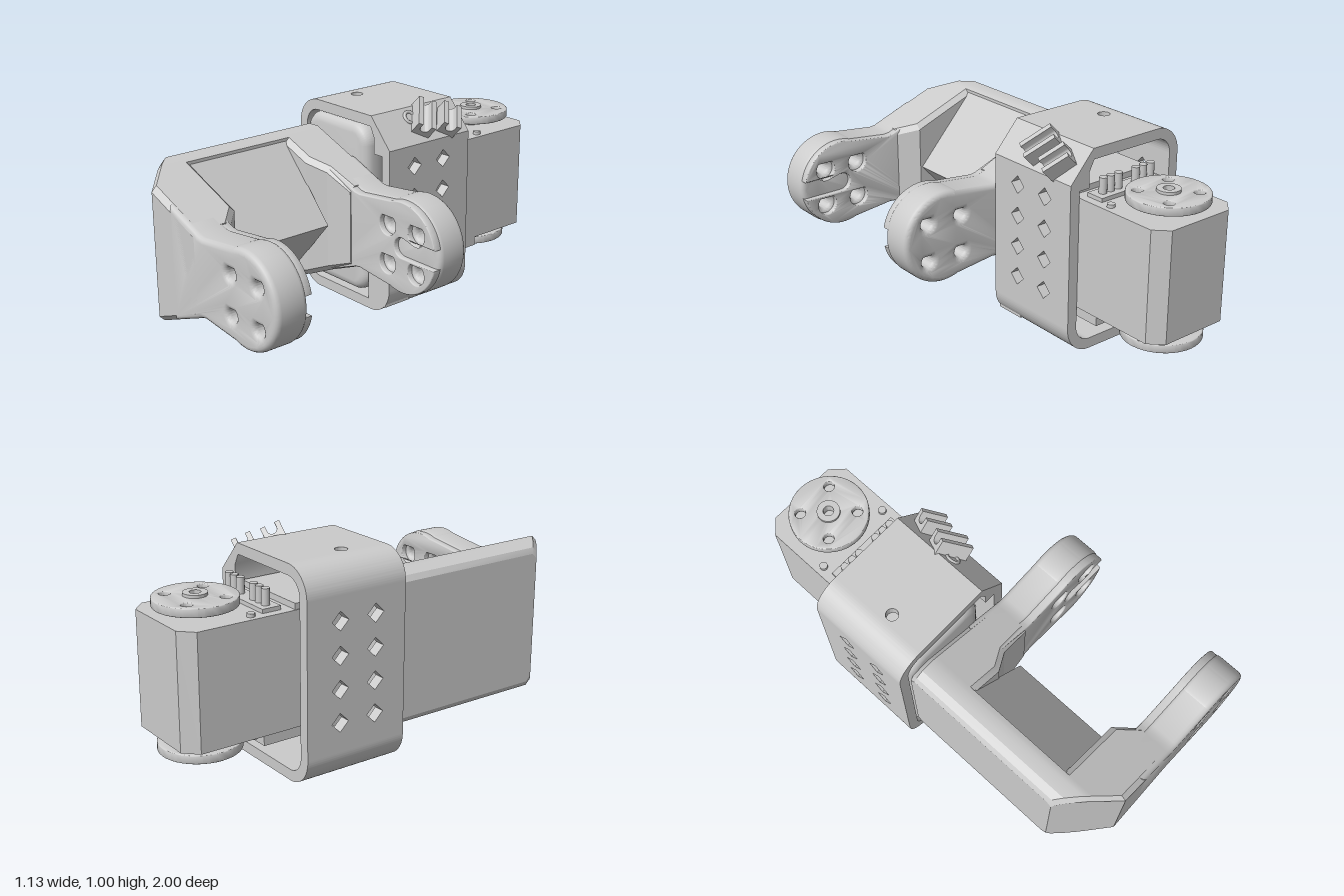
import * as THREE from 'three';
import { toCreasedNormals } from 'three/addons/utils/BufferGeometryUtils.js';

const grey = new THREE.MeshStandardMaterial({ color: 0xcccccc });
const CY = 0.48; // mid height of the bracket
const poly = (pts) => new THREE.Shape(pts.map(([a, b]) => new THREE.Vector2(a, b)));
const circle = (x, y, r) => new THREE.Path().absarc(x, y, r, 0, Math.PI * 2, true);

function add(group, name, geo, x = 0, y = 0, z = 0) {
  const m = new THREE.Mesh(geo, grey);
  m.name = name;
  m.position.set(x, y, z);
  group.add(m);
  return m;
}

// Extrusion spanning 0..depth, optional edge rounding kept inside the outline
function slab(shape, depth, bevel = 0) {
  const g = new THREE.ExtrudeGeometry(shape, {
    depth: depth - 2 * bevel, bevelEnabled: bevel > 0, bevelSize: bevel, bevelOffset: -bevel,
    bevelThickness: bevel, bevelSegments: 4, curveSegments: 20,
  });
  return toCreasedNormals(g.translate(0, 0, bevel), 0.6);
}
const slabX = (s, d) => slab(s, d).rotateY(Math.PI / 2);  // shape (-z, y), grows to +x
const slabY = (s, d, b) => slab(s, d, b).rotateX(Math.PI / 2); // shape (x, z), grows to -y

// Loft of chamfered rectangles along x; each section is [x, zBack, zFront, halfHeight]
function loft(sections, c = 0.025) {
  const pos = [], idx = [], n = 8, last = (sections.length - 1) * n;
  for (const [x, a, b, h] of sections) {
    for (const [y, z] of [[h, a + c], [h, b - c], [h - c, b], [c - h, b], [-h, b - c], [-h, a + c], [c - h, a], [h - c, a]])
      pos.push(x, CY + y, z);
  }
  for (let s = 0; s < last; s += n) {
    for (let i = 0; i < n; i++) {
      const a = s + i, b = s + (i + 1) % n;
      idx.push(a, b, b + n, a, b + n, a + n);
    }
  }
  for (let i = 1; i < n - 1; i++) idx.push(0, i + 1, i, last, last + i, last + i + 1);
  const g = new THREE.BufferGeometry();
  g.setAttribute('position', new THREE.Float32BufferAttribute(pos, 3));
  g.setIndex(idx);
  return toCreasedNormals(g, 0.4);
}

// Arm outline: neck and round lobe, with four teardrop holes and an optional slot to the tip
function armShape(r, holeR, slot) {
  const s = new THREE.Shape(), k = 0.215 - r, cx = 0.35;
  const low = [[-0.16, 0.262], [0.02, 0.194], [0.045, 0.184], [0.075, 0.18], [0.28, 0.203]];
  low.forEach(([x, h], i) => s[i ? 'lineTo' : 'moveTo'](x, CY - h + k));
  const a = 1.9, t = slot ? Math.asin(0.045 / r) : 0;
  s.absarc(cx, CY, r, -a, -t, false);
  if (slot) s.absarc(cx, CY, 0.045, -Math.PI / 2, Math.PI / 2, true);
  s.absarc(cx, CY, r, t, a, false);
  low.reverse().forEach(([x, h]) => s.lineTo(x, CY + h - k));
  for (const x of [0.26, 0.44]) for (const y of [0.385, 0.565]) {
    const p = new THREE.Path();
    p.moveTo(x, y + holeR * 1.42);
    p.absarc(x, y, holeR, Math.PI * 0.75, Math.PI * 2.25, false);
    p.closePath();
    s.holes.push(p);
  }
  return s;
}

function makeBracket() {
  const g = new THREE.Group();
  g.name = 'forkBracket';
  const h = (x) => 0.355 - 0.384 * (x + 0.4);
  add(g, 'web', loft([[-0.51, -0.015, 0.79, 0.31], [-0.495, -0.015, 0.804, 0.335], [-0.46, -0.015, 0.836, 0.354],
    [-0.4, -0.015, 0.89, 0.355], [-0.37, -0.015, 0.918, h(-0.37)]]));
  add(g, 'frontArmRoot', loft([[-0.37, 0.74, 0.918, h(-0.37)], [-0.28, 0.74, 1, h(-0.28)],
    [-0.06, 0.74, 1, h(-0.06)], [0, 0.8, 1, h(0)], [0.02, 0.82, 1, h(0.02)]]));
  add(g, 'backArmRoot', loft([[-0.37, -0.015, 0.23, h(-0.37)], [-0.22, -0.015, 0.23, h(-0.22)],
    [-0.13, -0.015, 0.18, h(-0.13)], [0.02, -0.015, 0.17, h(0.02)]]));
  add(g, 'ridge', slab(poly([[-0.38, 0.14], [-0.07, CY], [-0.38, 0.82]]), 0.52), 0, 0, 0.225);
  const plate = slab(armShape(0.215, 0.03, false), 0.155, 0.025);
  const pad = slab(armShape(0.21, 0.05, true), 0.05, 0.006);
  add(g, 'frontArm', plate, 0, 0, 0.845);
  add(g, 'frontArmPad', pad, 0, 0, 0.82);
  add(g, 'backArm', plate, 0, 0, -0.015);
  add(g, 'backArmPad', pad, 0, 0, 0.115);
  return g;
}

function makeFrame() {
  const g = new THREE.Group();
  g.name = 'servoFrame';
  const D = 0.5, Z = -0.52, R = 0.13, T = 0.05;
  // side walls with rows of diamond openings
  const wall = (top) => {
    const s = poly([[0.02, R], [0.52, R], [0.52, top], [0.02, top]]);
    for (const u of [0.175, 0.355]) for (const y of [0.265, 0.413, 0.561, 0.71])
      s.holes.push(new THREE.Path(poly([[u - 0.042, y], [u, y - 0.042], [u + 0.042, y], [u, y + 0.042]]).getPoints()));
    return slabX(s, T);
  };
  add(g, 'leftWall', wall(0.79), 0.02);
  add(g, 'rightWall', wall(0.82), -0.565);
  // top and bottom walls with screw holes
  const deck = (holes) => {
    const s = poly([[-0.435, -0.52], [-0.06, -0.52], [-0.06, -0.02], [-0.435, -0.02]]);
    s.holes = holes.map(([x, z]) => circle(x, z, 0.028));
    return slabY(s, T);
  };
  add(g, 'topWall', deck([[-0.39, -0.225]]), 0, 0.95);
  add(g, 'bottomWall', deck([[-0.39, -0.28], [-0.1, -0.28]]), 0, T);
  // rounded corners
  for (const [x, y, a] of [[-0.435, 0.82, Math.PI / 2], [-0.435, R, Math.PI], [-0.06, R, Math.PI * 1.5]]) {
    const s = new THREE.Shape();
    s.absarc(x, y, R, a, a + Math.PI / 2, false);
    s.absarc(x, y, R - T, a + Math.PI / 2, a, true);
    add(g, 'frameCorner', slab(s, D), 0, 0, Z);
  }
  add(g, 'slopedCorner', slab(poly([[-0.062, 0.95], [-0.06, 0.9], [-0.035, 0.85], [-0.035, 0.775], [0.07, 0.775],
    [0.07, 0.81], [-0.055, 0.95]].reverse()), D), 0, 0, Z);
  add(g, 'cornerBlock', new THREE.BoxGeometry(0.12, 0.16, 0.15), -0.015, 0.12, -0.095);
  // screw seat on the slope
  const seat = add(g, 'screwSeat', new THREE.TorusGeometry(0.028, 0.008, 8, 20), -0.02, 0.912, -0.225);
  seat.lookAt(1, 1.8, -0.225);
  // softly rounded backing between bracket and frame
  const b = new THREE.Shape(), x0 = -0.515, x1 = -0.08, y0 = 0.065, y1 = 0.895, r = 0.1;
  b.absarc(x1 - r, y0 + r, r, -Math.PI / 2, 0, false);
  b.absarc(x1 - r, y1 - r, r, 0, Math.PI / 2, false);
  b.absarc(x0 + r, y1 - r, r, Math.PI / 2, Math.PI, false);
  b.absarc(x0 + r, y0 + r, r, Math.PI, Math.PI * 1.5, false);
  add(g, 'backing', slab(b, 0.12, 0.045), 0, 0, -0.13);
  // cable clips on the slope, turned within its plane
  const clip = new THREE.Shape();
  clip.moveTo(-0.045, -0.02);
  clip.lineTo(0.045, -0.02);
  clip.lineTo(0.045, 0.07);
  clip.lineTo(0.022, 0.07);
  clip.absarc(0, 0.045, 0.022, 0, Math.PI, true);
  clip.lineTo(-0.022, 0.07);
  clip.lineTo(-0.045, 0.07);
  for (const [x, y, z, len] of [[-0.002, 0.89, -0.275, 0.16], [0.025, 0.862, -0.41, 0.13]]) {
    const holder = new THREE.Group();
    holder.name = 'cableClip';
    holder.position.set(x, y, z);
    holder.rotation.z = -Math.PI / 4;
    const m = add(holder, 'clipBody', slab(clip, len).translate(0, 0, -len / 2));
    m.rotation.y = Math.PI / 2 - 0.6;
    g.add(holder);
  }
  return g;
}

function makeServo() {
  const g = new THREE.Group();
  g.name = 'servo';
  const cx = -0.205, cz = -0.815;
  add(g, 'servoBody', slabY(poly([[-0.43, -0.94], [-0.37, -1], [-0.04, -1], [0.02, -0.94], [0.02, -0.175], [-0.43, -0.175]]), 0.515), 0, 0.745);
  add(g, 'topLedge', new THREE.BoxGeometry(0.44, 0.03, 0.3), cx, 0.757, -0.33);
  add(g, 'bottomLedge', new THREE.BoxGeometry(0.44, 0.05, 0.46), cx, 0.21, -0.41);
  add(g, 'connector', new THREE.BoxGeometry(0.37, 0.02, 0.09), cx, 0.753, -0.57);
  for (const x of [-0.345, -0.3, -0.257, -0.155, -0.11, -0.067])
    add(g, 'connectorPin', new THREE.CylinderGeometry(0.018, 0.018, 0.09, 14), x, 0.79, -0.57);
  // round drive plates above and below
  const disc = new THREE.Shape().absarc(0, 0, 0.18, 0, Math.PI * 2, false);
  for (const a of [-0.09, 0.09]) for (const b of [-0.09, 0.09]) disc.holes.push(circle(a, b, 0.024));
  disc.holes.push(circle(0, 0, 0.024));
  const hub = new THREE.Shape().absarc(0, 0, 0.052, 0, Math.PI * 2, false);
  hub.holes.push(circle(0, 0, 0.024));
  for (const [top, hubTop, neck] of [[0.815, 0.828, 0.755], [0.19, 0.19, 0.21]]) {
    add(g, 'drivePlate', slabY(disc, 0.04, 0.005), cx, top, cz);
    add(g, 'driveHub', slabY(hub, 0.063), cx, hubTop, cz);
    add(g, 'driveNeck', new THREE.CylinderGeometry(0.08, 0.08, 0.05, 28), cx, neck, cz);
  }
  for (const x of [-0.39, -0.02]) for (const y of [0.75, 0.225])
    add(g, 'caseScrew', new THREE.CylinderGeometry(0.018, 0.018, 0.02, 14), x, y, -0.67);
  return g;
}

export function createModel() {
  const model = new THREE.Group();
  model.name = 'jointAssembly';
  model.add(makeBracket(), makeFrame(), makeServo());
  return model;
}
